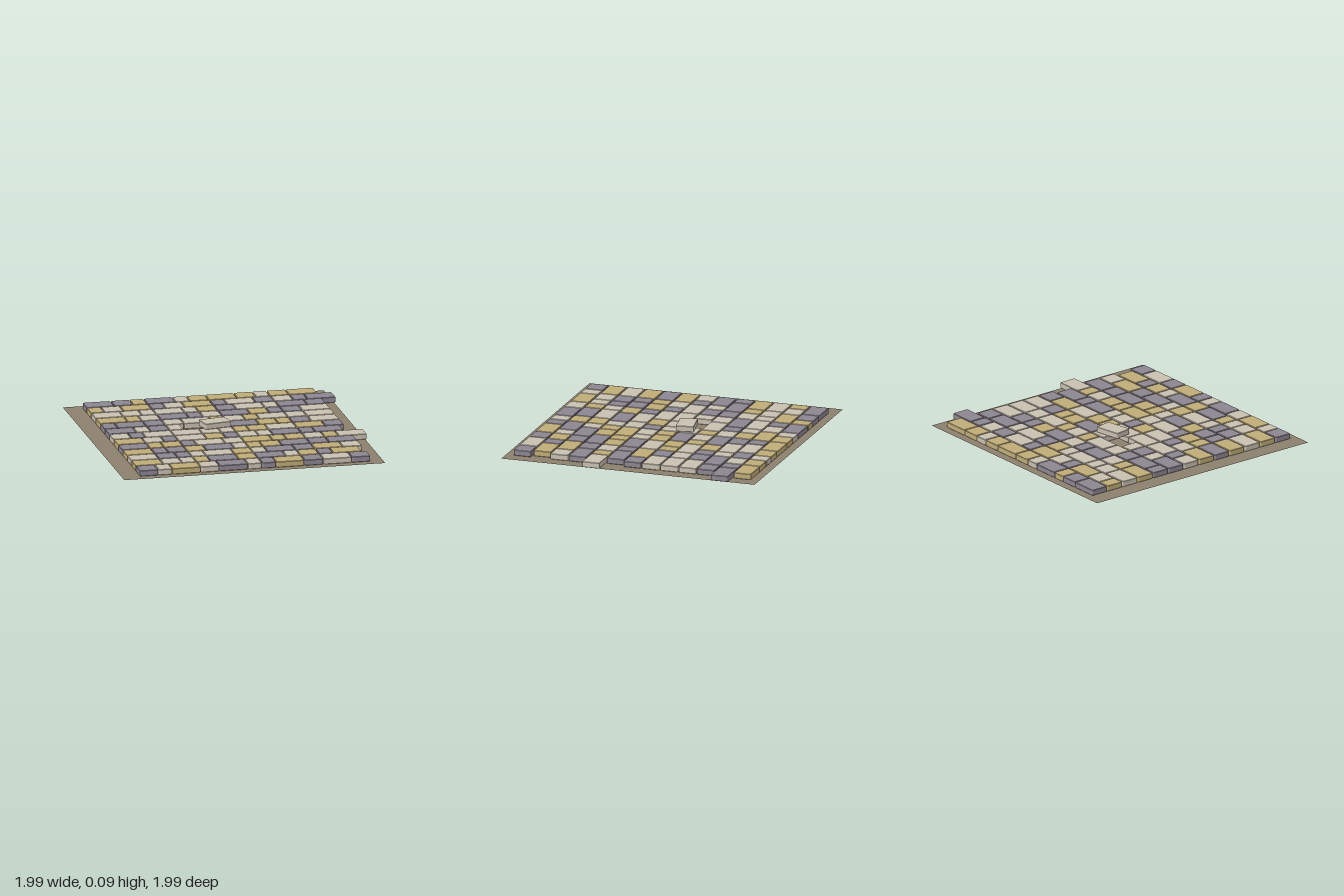
import * as THREE from 'three';

const PITCH = 0.1436;   // width of a medium stone plus its joint
const GAP = 0.007;
const DEPTH = 0.135;
const HEIGHT = 0.043;
const SIZES = { L: 1.5, M: 1, S: 0.75 };

// Rows from back to front: size letter, then colour (p purple, y yellow, w pale, - missing)
const ROWS = [
  'Lp Mp Sy Lp Sw My Ly My Sw My Ly',
  'Sy Mw Ly Sp Mw Ly Sp Lw Mp Mw Sp Lp',
  'Lw Mw Sw Lw Sw My Mp Lw Sw Lp Mp',
  'Ly Sy Mw Lp Sp Mw Lp My Sp Mp Lw',
  'Sp Lp Mp Mw Lw Sy Mw Sy Lw Mw Lw',
  'Lp Sw Mp Sw L- Mw Lp My Sy Mp Lw',
  'Mw Sp Lw Lw Mw Sw Sy My Lw Ly Mp',
  'Ly Mw Sp Lw My Sp Mw Sw Lp Sp Lp',
  'Lp Sy My Sp Lw Mw Ly Sy My Mw Sy Lw',
  'Ly Sp Mp My Lp Sw Sy My Lp Mp Lp',
  'Lw Mp Sp Sw Lw My Sw Lp Mp Ly Mw',
  'Ly Mw Sw Sy Lp My Lp Sw My Sp Ly',
  'Mp Sw Ly Mw Lp Sw Sp Ly Mp Lw Mp',
];

// Paving stone with rounded plan corners and a narrow bevel along its edges
function stoneGeometry(width) {
  const bevel = 0.003, r = 0.007;
  const a = width / 2 - bevel, b = DEPTH / 2 - bevel;
  const s = new THREE.Shape();
  s.moveTo(-a + r, -b);
  s.lineTo(a - r, -b);
  s.quadraticCurveTo(a, -b, a, -b + r);
  s.lineTo(a, b - r);
  s.quadraticCurveTo(a, b, a - r, b);
  s.lineTo(-a + r, b);
  s.quadraticCurveTo(-a, b, -a, b - r);
  s.lineTo(-a, -b + r);
  s.quadraticCurveTo(-a, -b, -a + r, -b);
  const geo = new THREE.ExtrudeGeometry(s, {
    depth: HEIGHT - 2 * bevel, curveSegments: 3,
    bevelEnabled: true, bevelThickness: bevel, bevelSize: bevel, bevelSegments: 1,
  });
  geo.rotateX(-Math.PI / 2);
  geo.translate(0, bevel, 0);
  return geo;
}

function material(name, color) {
  const m = new THREE.MeshStandardMaterial({ color });
  m.name = name;
  return m;
}

export function createModel() {
  const group = new THREE.Group();
  group.name = 'stonePaving';
  const colours = {
    p: material('purpleStone', 0x8c8590),
    y: material('yellowStone', 0xbfac78),
    w: material('paleStone', 0xc8c0b0),
  };
  const soil = material('soil', 0x8c7f6d);
  soil.side = THREE.DoubleSide;

  // Ground sheet
  const ground = new THREE.Mesh(new THREE.PlaneGeometry(1.985, 1.985).rotateX(-Math.PI / 2), soil);
  ground.name = 'ground';
  ground.position.set(-0.008, 0, -0.005);
  group.add(ground);

  const shapes = {};
  for (const size in SIZES) shapes[size] = stoneGeometry(SIZES[size] * PITCH - GAP);

  // Courses of stones
  ROWS.forEach((text, i) => {
    const row = new THREE.Group();
    row.name = 'stoneRow' + (i + 1);
    row.position.set(0, 0.002, -0.867 + i * 0.1438);
    let x = -0.869;
    for (const [size, colour] of text.split(' ')) {
      const step = SIZES[size] * PITCH;
      if (colour !== '-') {
        const stone = new THREE.Mesh(shapes[size], colours[colour]);
        stone.name = 'stone';
        stone.position.x = x + step / 2;
        row.add(stone);
      }
      x += step;
    }
    group.add(row);
  });

  // Lifted stone lying beside its empty place
  const loose = new THREE.Mesh(shapes.L, colours.w);
  loose.name = 'looseStone';
  loose.position.set(-0.053, 0.046, -0.106);
  loose.rotation.y = 0.175;
  group.add(loose);
  return group;
}
